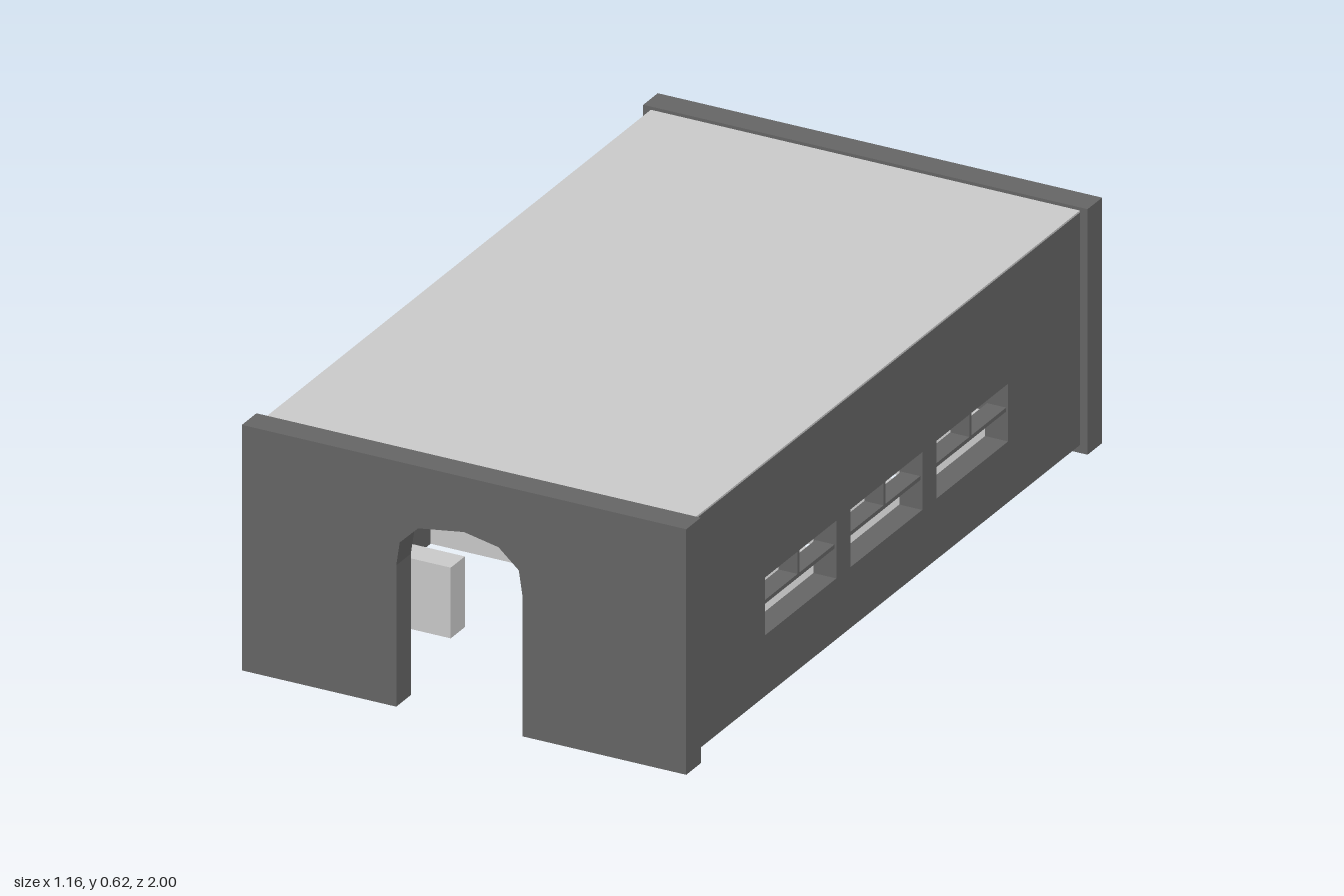
import * as THREE from 'three';
import { toCreasedNormals } from 'three/addons/utils/BufferGeometryUtils.js';

const dark = new THREE.MeshStandardMaterial({ color: 0x666666 });
const light = new THREE.MeshStandardMaterial({ color: 0xcccccc });

const END = 0.93;      // inner face of the end walls
const OUT = 0.56;      // outer face of the side walls
const IN = 0.50;       // inner face of the side walls
const BASE = 0.02;     // underside of the side walls
const SPRING = 0.345;  // height where the vault starts

export function createModel() {
  const model = new THREE.Group();

  function add(name, geometry, material, x = 0, y = 0, z = 0) {
    const mesh = new THREE.Mesh(geometry, material);
    mesh.name = name;
    mesh.position.set(x, y, z);
    model.add(mesh);
    return mesh;
  }
  const polygon = (points) => new THREE.Shape(points.map(([x, y]) => new THREE.Vector2(x, y)));
  const extrude = (shape, depth) =>
    new THREE.ExtrudeGeometry(shape, { depth, bevelEnabled: false, curveSegments: 32 });

  // End walls with a faceted archway
  const endShape = polygon([
    [-0.58, 0], [-0.177, 0], [-0.177, 0.36], [-0.168, 0.42], [-0.12, 0.467], [0, 0.485],
    [0.09, 0.467], [0.143, 0.42], [0.152, 0.36], [0.152, 0], [0.58, 0], [0.58, 0.625], [-0.58, 0.625],
  ]);
  const endGeometry = extrude(endShape, 1 - END);
  add('frontWall', endGeometry, dark, 0, 0, END);
  add('backWall', endGeometry, dark, 0, 0, -1);

  // Side walls with three window openings each
  const windowCentres = [-0.413, 0, 0.413];
  const halfWindow = 0.172, sill = 0.175, head = 0.322, rail = 0.255;
  const sideShape = polygon([[-END, BASE], [END, BASE], [END, SPRING], [-END, SPRING]]);
  for (const c of windowCentres) {
    sideShape.holes.push(polygon([
      [c - halfWindow, sill], [c - halfWindow, head], [c + halfWindow, head], [c + halfWindow, sill],
    ]));
  }
  const sideGeometry = extrude(sideShape, OUT - IN).rotateY(Math.PI / 2);

  // Window bars and the low partitions standing between the windows
  const railBar = new THREE.BoxGeometry(0.05, 0.01, halfWindow * 2);
  const uprightBar = new THREE.BoxGeometry(0.05, head - rail, 0.01);
  const partition = new THREE.BoxGeometry(IN - 0.22, 0.18, 0.068);
  for (const [side, s] of [['left', 1], ['right', -1]]) {
    add(side + 'Wall', sideGeometry, dark, s > 0 ? IN : -OUT);
    const middle = s * (IN + OUT) / 2;
    for (const c of windowCentres) {
      add(side + 'WindowRail', railBar, dark, middle, rail, c);
      add(side + 'WindowUpright', uprightBar, dark, middle, (rail + head) / 2, c);
    }
    for (const z of [-0.625, -0.206, 0.206, 0.625]) {
      add(side + 'Partition', partition, light, s * (IN + 0.22) / 2, BASE + 0.09, z);
    }
  }

  // Upper walls and vaulted ceiling in one cross-section
  const vault = polygon([[IN, SPRING], [OUT, SPRING], [OUT, 0.612], [-OUT, 0.612], [-OUT, SPRING], [-IN, SPRING]]);
  vault.absellipse(0, SPRING, IN, 0.205, Math.PI, 0, true);
  add('vaultedCeiling', toCreasedNormals(extrude(vault, END * 2), 0.5), dark, 0, 0, -END);

  // Flat roof sheet
  add('roof', new THREE.BoxGeometry(OUT * 2, 0.005, END * 2), light, 0, 0.6145, 0);

  return model;
}
